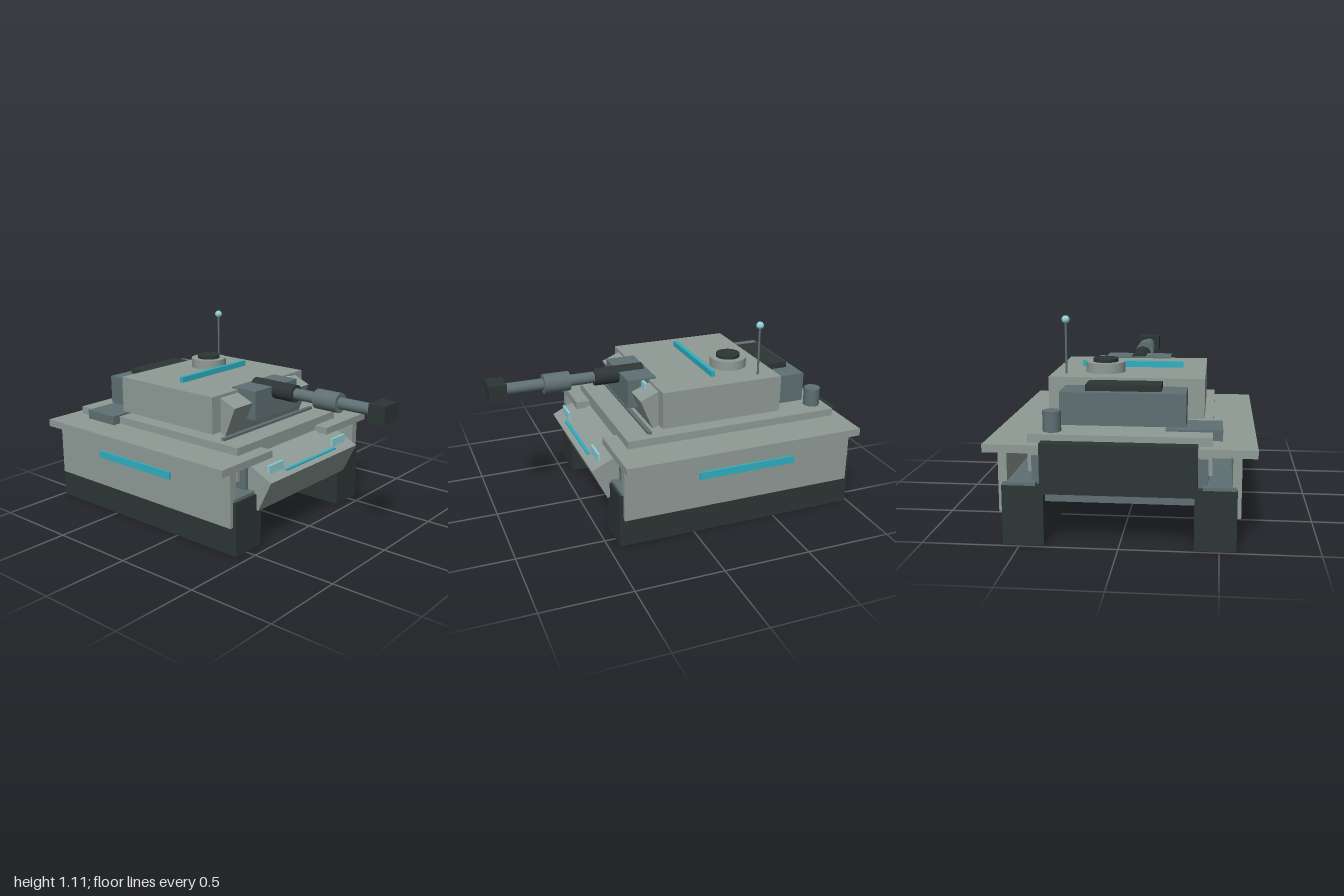
import * as THREE from 'three';

const material = (name, color) => {
  const m = new THREE.MeshStandardMaterial({ color });
  m.name = name;
  return m;
};

export function createModel() {
  const model = new THREE.Group();
  model.name = 'tank';

  const armor = material('armor grey', 0x8f9b96);
  const slate = material('slate', 0x5f7073);
  const dark = material('dark steel', 0x2d3535);
  const cyan = material('cyan trim', 0x2fb0c2);
  const pale = material('pale lamp', 0x8fd0d6);

  const add = (name, geometry, mat) => {
    const mesh = new THREE.Mesh(geometry, mat);
    mesh.name = name;
    model.add(mesh);
    return mesh;
  };
  // Box given by its limits on each axis
  const box = (name, mat, [x0, x1], [y0, y1], [z0, z1]) => {
    const mesh = add(name, new THREE.BoxGeometry(x1 - x0, y1 - y0, z1 - z0), mat);
    mesh.position.set((x0 + x1) / 2, (y0 + y1) / 2, (z0 + z1) / 2);
    return mesh;
  };
  // The same box on both sides
  const pair = (name, mat, [x0, x1], y, z) => {
    box(name + 'Left', mat, [x0, x1], y, z);
    box(name + 'Right', mat, [-x1, -x0], y, z);
  };
  const upright = (name, mat, r, x, z, [y0, y1], sides = 24) => {
    const mesh = add(name, new THREE.CylinderGeometry(r, r, y1 - y0, sides), mat);
    mesh.position.set(x, (y0 + y1) / 2, z);
  };
  // Tilted armour block: (z, y) of its foremost edge, face height, depth and tilt
  const wedge = (name, width, z, y, height, depth, tilt) => {
    const geometry = new THREE.BoxGeometry(width, height, depth);
    geometry.translate(0, -height / 2, -depth / 2);
    const mesh = add(name, geometry, armor);
    mesh.rotation.x = tilt;
    mesh.position.set(0, y, z);
  };

  // Running gear
  pair('track', dark, [0.375, 0.585], [0, 0.31], [-0.985, 0.437]);
  pair('trackCover', slate, [0.415, 0.58], [0.31, 0.326], [-0.98, 0.425]);
  pair('sideSkirt', armor, [0.56, 0.605], [0.165, 0.476], [-0.96, 0.415]);
  pair('skirtStripe', cyan, [0.605, 0.617], [0.34, 0.383], [-0.6, -0.02]);
  pair('fender', armor, [0.26, 0.68], [0.476, 0.518], [-0.98, 0.425]);

  // Hull
  box('lowerHull', slate, [-0.44, 0.44], [0.22, 0.455], [-0.94, 0.38]);
  box('upperHull', armor, [-0.46, 0.46], [0.37, 0.562], [-0.928, 0.342]);
  wedge('glacis', 0.83, 0.537, 0.396, 0.2, 0.25, 0.45);
  box('rearPlate', dark, [-0.39, 0.39], [0.275, 0.532], [-1, -0.935]);
  box('noseStrip', cyan, [-0.24, 0.24], [0.405, 0.419], [0.488, 0.508]);
  pair('headlight', pale, [0.235, 0.365], [0.42, 0.468], [0.472, 0.486]);
  box('stowageBox', slate, [-0.51, -0.22], [0.518, 0.572], [-0.81, -0.585]);
  upright('exhaust', slate, 0.047, 0.35, -0.848, [0.56, 0.668]);
  box('deckBar', slate, [-0.412, 0.412], [0.56, 0.577], [0.186, 0.21]);

  // Turret
  box('turret', armor, [-0.413, 0.413], [0.582, 0.795], [-0.6, 0.122]);
  wedge('turretFace', 0.69, 0.227, 0.735, 0.187, 0.163, 0.39);
  box('turretBustle', slate, [-0.324, 0.32], [0.582, 0.752], [-0.802, -0.6]);
  box('bustleVent', dark, [-0.195, 0.193], [0.752, 0.784], [-0.755, -0.615]);
  box('turretStripe', cyan, [-0.284, 0.284], [0.793, 0.828], [-0.246, -0.222]);
  upright('cupola', armor, 0.107, 0.133, -0.395, [0.795, 0.85], 32);
  upright('hatch', dark, 0.069, 0.133, -0.395, [0.85, 0.869]);
  upright('antenna', slate, 0.006, 0.336, -0.49, [0.79, 1.075], 10);
  add('antennaTip', new THREE.SphereGeometry(0.022, 20, 14), pale).position.set(0.336, 1.086, -0.49);

  // Gun
  box('mantlet', slate, [-0.193, 0.193], [0.636, 0.803], [0.077, 0.248]);
  box('gunLamp', pale, [0.185, 0.241], [0.755, 0.795], [0.15, 0.168]);
  const gunPart = (name, mat, r, z0, z1) => {
    const mesh = add(name, new THREE.CylinderGeometry(r, r, z1 - z0, 24), mat);
    mesh.rotation.x = Math.PI / 2;
    mesh.position.set(0, 0.776, (z0 + z1) / 2);
  };
  gunPart('gunSleeve', dark, 0.05, 0.095, 0.388);
  gunPart('barrel', slate, 0.033, 0.2, 0.92);
  gunPart('boreEvacuator', slate, 0.056, 0.535, 0.685);
  box('muzzle', dark, [-0.068, 0.068], [0.726, 0.826], [0.9, 1]);

  return model;
}
